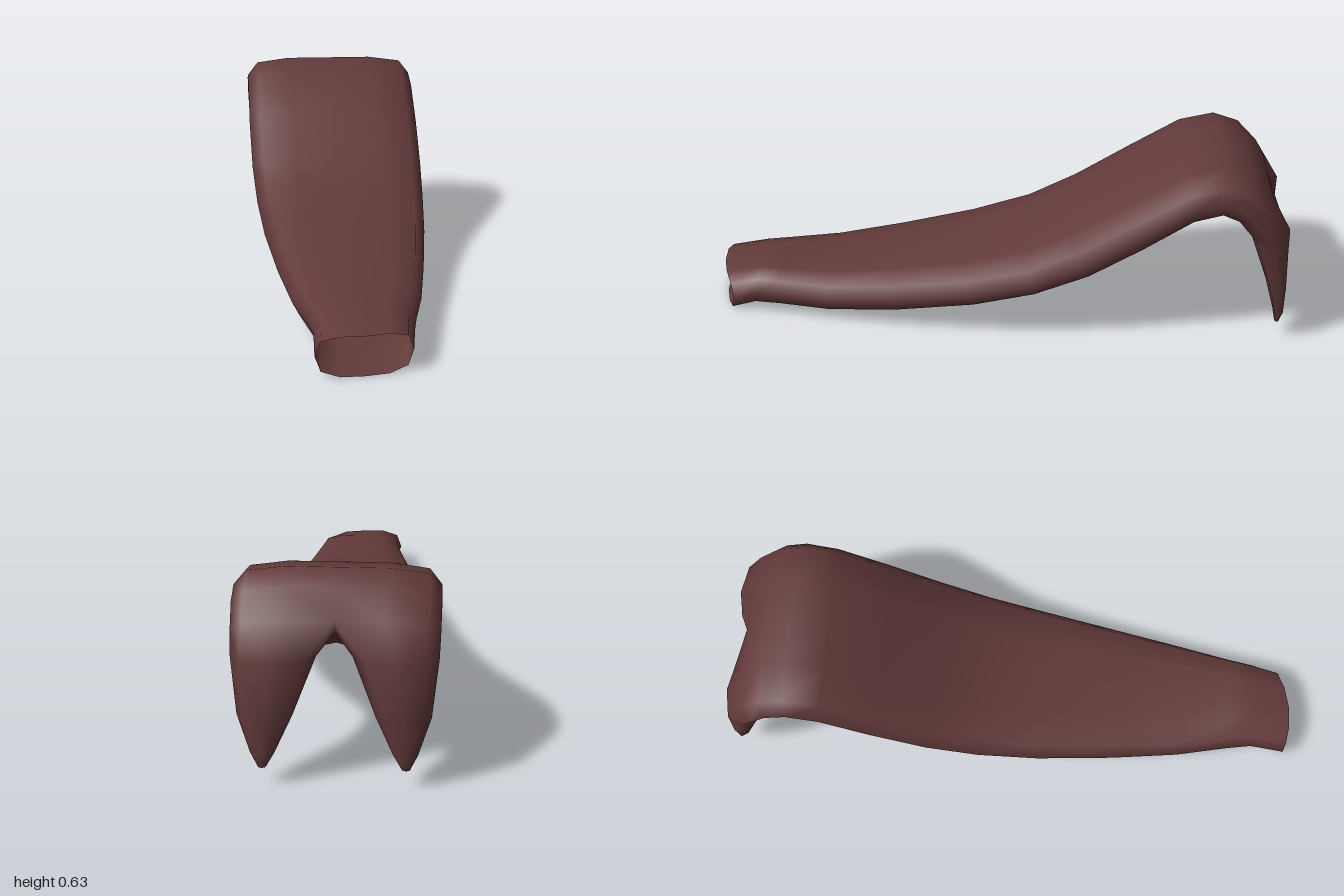
import * as THREE from 'three';
import { mergeGeometries, mergeVertices } from 'three/addons/utils/BufferGeometryUtils.js';

// Right half of the flattened cross-section, from top centre to bottom centre
const HALF = [[0, 1], [0.5, 1], [0.88, 0.75], [1, 0], [0.88, -0.75], [0.5, -1], [0, -1]];
const SECTION = [...HALF, ...HALF.slice(1, 6).reverse().map(([u, v]) => [-u, v])];

// Prong cross-section, matching the half section plus one inner point
const PRONG = [[-0.7, 0.75], [0, 1], [0.75, 0.75], [1, 0], [0.75, -0.75], [0, -1], [-0.7, -0.75], [-1, 0]];

// Body stations: top z, top y, bottom z, bottom y, half width
const STATIONS = [
  [1.0, 0.128, 1.0, 0.0, 0.153],
  [0.86, 0.156, 0.875, 0.032, 0.157],
  [0.78, 0.157, 0.78, 0.033, 0.172],
  [0.6, 0.158, 0.6, 0.034, 0.21],
  [0.37, 0.187, 0.36, 0.058, 0.247],
  [0.11, 0.231, 0.08, 0.107, 0.283],
  [-0.1, 0.289, -0.13, 0.166, 0.303],
  [-0.27, 0.374, -0.32, 0.25, 0.315],
  [-0.465, 0.497, -0.5, 0.364, 0.32],
  [-0.64, 0.604, -0.663, 0.476, 0.32],
  [-0.765, 0.633, -0.754, 0.503, 0.32],
  [-0.86, 0.602, -0.805, 0.48, 0.32],
  [-0.935, 0.524, -0.85, 0.42, 0.318],
];

// Prong stations: y, back z, front z, inner x, outer x
const PRONG_STATIONS = [
  [0.41, -1.0, -0.862, 0.055, 0.315],
  [0.23, -1.0, -0.928, 0.125, 0.295],
  [0.11, -1.0, -0.962, 0.18, 0.255],
  [0.06, -0.988, -0.972, 0.207, 0.232],
  [0.055, -0.98, -0.98, 0.22, 0.22],
];

const stationPoint = ([tz, ty, bz, by, w], [u, v]) => [
  u * w,
  (ty + by) / 2 + (v * (ty - by)) / 2,
  (tz + bz) / 2 + (v * (tz - bz)) / 2,
];

// Skin a list of closed rings
function loft(rings, flip = false) {
  const n = rings[0].length;
  const index = [];
  for (let i = 0; i < rings.length - 1; i++) {
    for (let j = 0; j < n; j++) {
      const a = i * n + j, b = i * n + ((j + 1) % n), c = a + n, d = b + n;
      if (flip) index.push(a, c, b, b, c, d);
      else index.push(a, b, c, b, d, c);
    }
  }
  const geometry = new THREE.BufferGeometry();
  geometry.setAttribute('position', new THREE.Float32BufferAttribute(rings.flat(2), 3));
  geometry.setIndex(index);
  return geometry;
}

function bodyGeometry() {
  const rings = STATIONS.map((s) => SECTION.map((p) => stationPoint(s, p)));
  // Bowed, slightly skewed rim at the open front end
  rings[0].forEach((p, k) => {
    const u = SECTION[k][0];
    p[0] -= 0.008;
    p[2] -= 0.03 * u * u + 0.02 * u;
  });
  return loft(rings);
}

function prongGeometry(side) {
  const last = STATIONS[STATIONS.length - 1];
  const root = [...HALF, [0, 0]].map((p) => stationPoint(last, p));
  const rings = [root, ...PRONG_STATIONS.map(([y, back, front, inner, outer]) =>
    PRONG.map(([u, v]) => [
      (inner + outer) / 2 + (u * (outer - inner)) / 2,
      y,
      (back + front) / 2 + (v * (back - front)) / 2,
    ]))];
  return loft(rings.map((r) => r.map(([x, y, z]) => [side * x, y, z])), side < 0);
}

export function createModel() {
  const group = new THREE.Group();
  group.name = 'forkedTongue';
  const flesh = new THREE.MeshStandardMaterial({ color: 0x633a3a, side: THREE.DoubleSide });
  flesh.name = 'dark flesh';

  // Body and both prongs welded into one smooth skin
  const skin = mergeVertices(mergeGeometries([bodyGeometry(), prongGeometry(1), prongGeometry(-1)]));
  skin.computeVertexNormals();
  const tongue = new THREE.Mesh(skin, flesh);
  tongue.name = 'tongue';
  group.add(tongue);
  return group;
}
